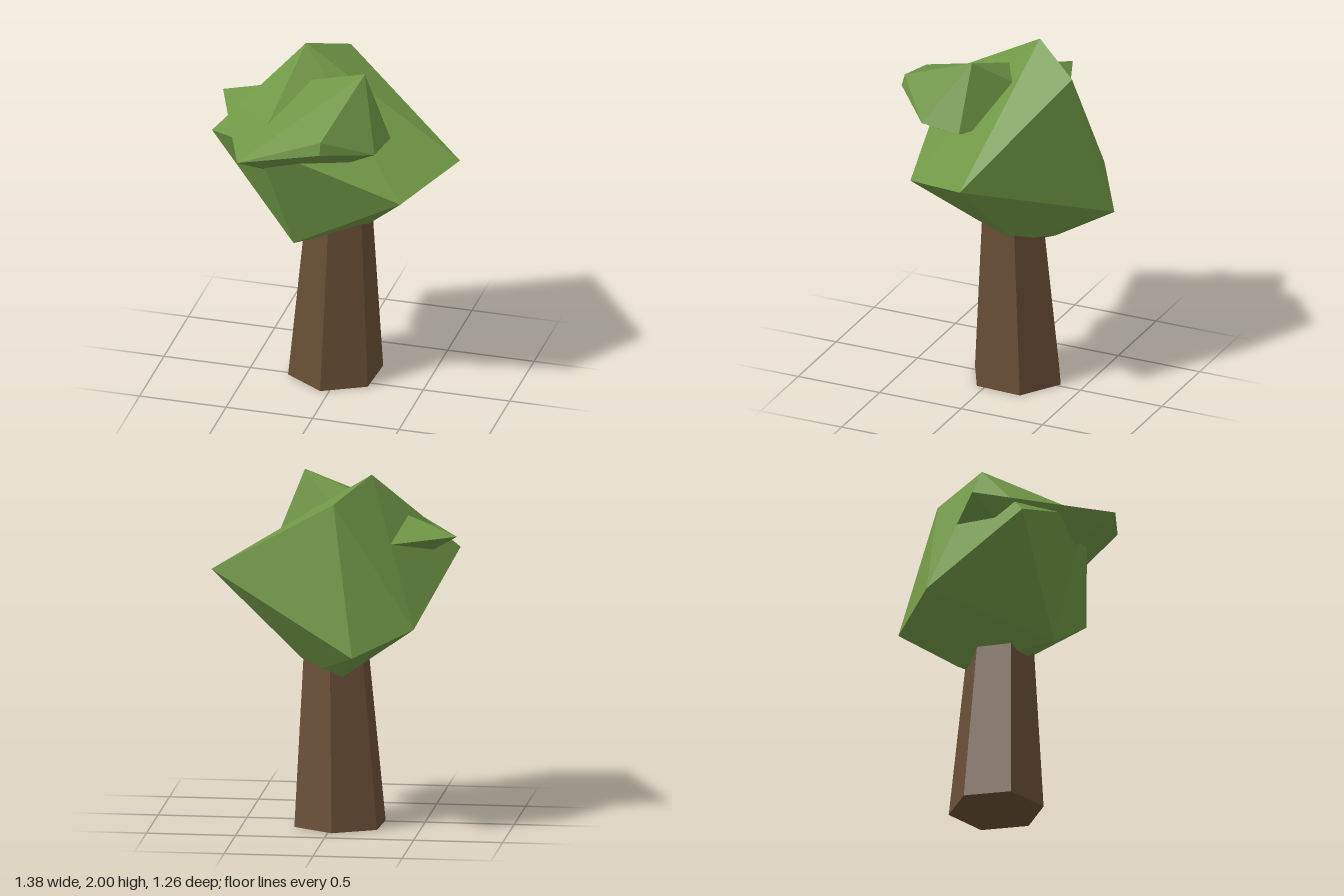
import * as THREE from 'three';
import { ConvexGeometry } from 'three/addons/geometries/ConvexGeometry.js';

const leafGreen = new THREE.MeshStandardMaterial({ name: 'leafGreen', color: 0x6f9645, flatShading: true });
const barkBrown = new THREE.MeshStandardMaterial({ name: 'barkBrown', color: 0x694f36, flatShading: true });

// Faceted leaf mass spanned by a few corner points
function leafClump(name, corners) {
  const points = corners.map((c) => new THREE.Vector3(...c));
  const mesh = new THREE.Mesh(new ConvexGeometry(points), leafGreen);
  mesh.name = name;
  return mesh;
}

// Six-sided tapered trunk, leaning slightly as it rises into the leaves
function makeTrunk() {
  const height = 1.1;
  const geometry = new THREE.CylinderGeometry(0.182, 0.27, height, 6, 1);
  geometry.rotateY(-0.05);
  geometry.translate(0, height / 2, 0);
  const pos = geometry.attributes.position;
  for (let i = 0; i < pos.count; i++) {
    const y = pos.getY(i);
    pos.setX(i, pos.getX(i) - 0.035 + 0.025 * y);
    pos.setZ(i, pos.getZ(i) - 0.1 + 0.02 * y);
  }
  geometry.computeVertexNormals();
  const mesh = new THREE.Mesh(geometry, barkBrown);
  mesh.name = 'trunk';
  return mesh;
}

export function createModel() {
  const tree = new THREE.Group();
  tree.name = 'tree';
  tree.add(makeTrunk());

  // Large main crown
  tree.add(leafClump('mainCrown', [
    [-0.22, 2.0, -0.15], [-0.04, 1.88, -0.43],
    [0.69, 1.425, -0.08], [0.46, 1.32, 0.33],
    [-0.33, 1.64, 0.46], [-0.68, 1.54, 0.15],
    [-0.49, 1.18, -0.42], [-0.17, 1.05, -0.63],
    [-0.18, 0.95, 0.25], [0.1, 0.88, -0.16], [-0.08, 0.88, -0.31],
  ]));

  // Smaller clump pushing through the crown at the front and the right side
  tree.add(leafClump('frontClump', [
    [0.185, 1.975, 0.08], [-0.695, 1.655, -0.13],
    [-0.4, 1.61, 0.63], [0.06, 1.76, 0.55], [0.06, 1.69, 0.57],
    [0.31, 1.61, 0.33], [0.335, 1.6, 0.09], [0.16, 1.52, 0.28],
    [-0.2, 1.62, -0.33], [-0.25, 1.35, 0.2],
  ]));
  return tree;
}
